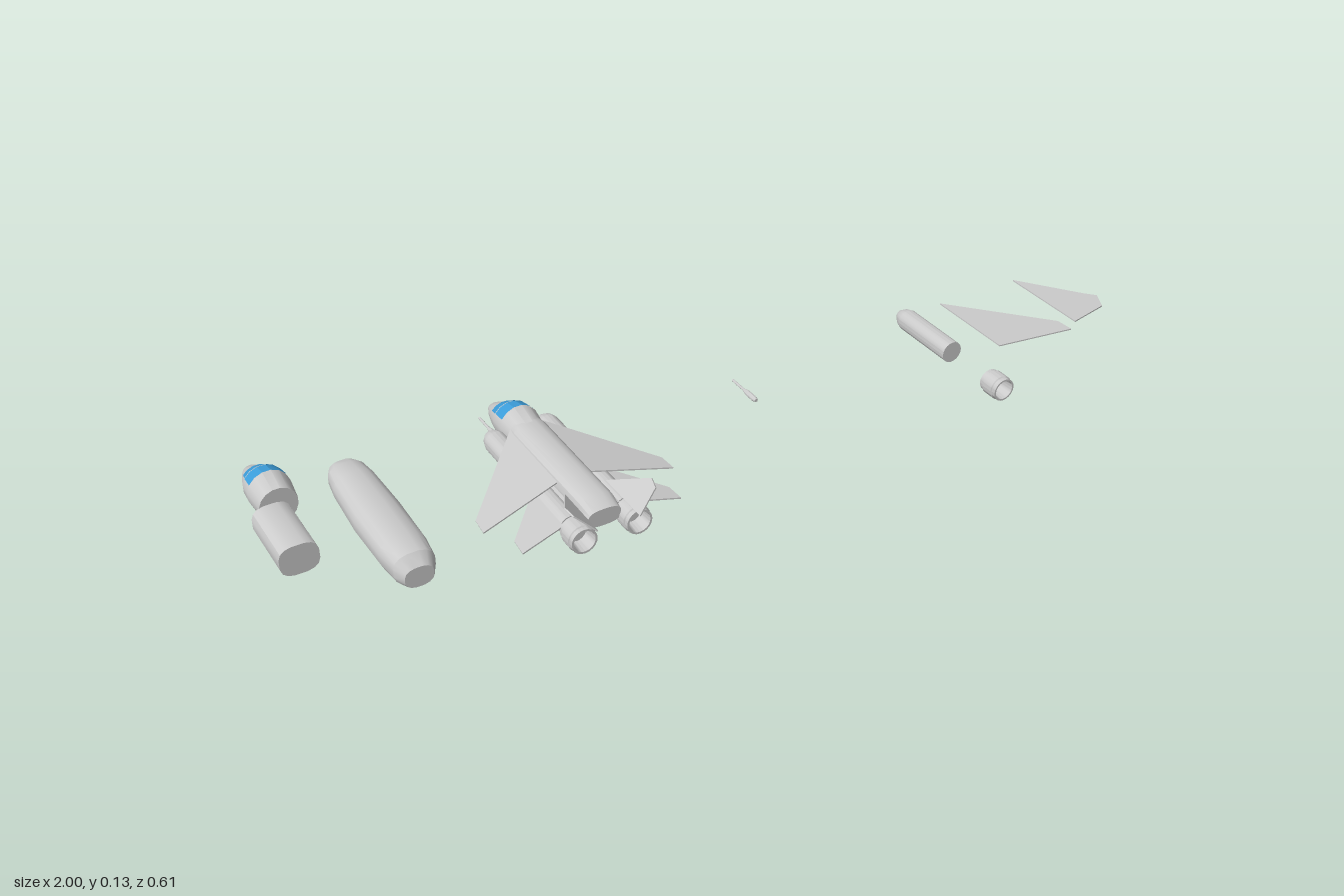
import * as THREE from 'three';
import { toCreasedNormals } from 'three/addons/utils/BufferGeometryUtils.js';

const grey = new THREE.MeshStandardMaterial({ color: 0xcccccc, side: THREE.DoubleSide });
const blue = new THREE.MeshStandardMaterial({ color: 0x3d9fdc, side: THREE.DoubleSide });

function add(parent, name, geometry, material = grey) {
  const mesh = new THREE.Mesh(geometry, material);
  mesh.name = name;
  parent.add(mesh);
  return mesh;
}

function group(parent, name, x = 0, y = 0, z = 0) {
  const g = new THREE.Group();
  g.name = name;
  g.position.set(x, y, z);
  parent.add(g);
  return g;
}

// Skin over sections [z, halfWidth, bottom, top], ordered from tail to nose.
// first..last picks a strip of the ring; a full ring gets end caps.
function loft(sections, { n = 16, power = 1, first = 0, last = n, grow = 0 } = {}) {
  const pos = [], index = [], w = last - first + 1;
  const bend = (v) => Math.sign(v) * Math.abs(v) ** power;
  for (const [z, half, bottom, top] of sections) {
    for (let j = first; j <= last; j++) {
      const a = ((j + 0.5) / n) * Math.PI * 2;
      pos.push(bend(Math.cos(a)) * (half + grow),
        (bottom + top) / 2 + bend(Math.sin(a)) * ((top - bottom) / 2 + grow), z);
    }
  }
  for (let i = 0; i < sections.length - 1; i++) {
    for (let j = 0; j < w - 1; j++) {
      const a = i * w + j, b = a + w;
      index.push(a, b, b + 1, a, b + 1, a + 1);
    }
  }
  if (w === n + 1) {
    const end = (sections.length - 1) * w;
    for (let j = 1; j < n - 1; j++) {
      index.push(0, j, j + 1, end, end + j + 1, end + j);
    }
  }
  const g = new THREE.BufferGeometry();
  g.setAttribute('position', new THREE.Float32BufferAttribute(pos, 3));
  g.setIndex(index);
  return toCreasedNormals(g, 0.5);
}

// Thin flat plate from [x, z] corners, mirrored by side
function plate(points, side = 1, t = 0.003) {
  const shape = new THREE.Shape(points.map(([x, z]) => new THREE.Vector2(x * side, z)));
  const g = new THREE.ExtrudeGeometry(shape, { depth: t, bevelEnabled: false });
  return g.translate(0, 0, -t / 2).rotateX(Math.PI / 2);
}

// Round body along z from [radius, z] points
function turned(points, sides = 20) {
  const g = new THREE.LatheGeometry(points.map(([r, z]) => new THREE.Vector2(r, z)), sides);
  return toCreasedNormals(g.rotateX(Math.PI / 2), 0.5);
}

const cockpitSections = [
  [-0.125, 0.04, 0.012, 0.093], [-0.175, 0.045, 0.01, 0.104], [-0.215, 0.042, 0.01, 0.094],
  [-0.25, 0.033, 0.013, 0.074], [-0.28, 0.024, 0.02, 0.056], [-0.298, 0.016, 0.026, 0.046],
  [-0.305, 0.008, 0.031, 0.04],
];

function cockpit(parent, x, z) {
  const g = group(parent, 'cockpit', x, 0, z);
  add(g, 'noseShell', loft(cockpitSections));
  // Canopy panes with narrow frames between them
  const mix = (a, b, t) => a.map((v, i) => v + (b[i] - v) * t);
  for (const i of [1, 2]) {
    const [a, b] = [cockpitSections[i], cockpitSections[i + 1]];
    const pane = [mix(a, b, 0.04), mix(a, b, 0.95)];
    for (const [first, last] of [[1, 3], [3, 4], [4, 6]]) {
      add(g, 'canopyPane', loft(pane, { first, last, grow: 0.0012 }), blue);
    }
  }
}

const wingShape = [[0, -0.105], [0.182, 0.1], [0.185, 0.142], [0, 0.115]];
const finShape = [[0, -0.105], [0.1, 0.03], [0.122, 0.055], [0.1, 0.098], [0, 0.12]];
const tailFin = [[0, 0.165], [0.068, 0.265], [0.06, 0.29], [0, 0.303]];
const pod = [[0, 0.08], [0.025, 0.08], [0.025, -0.085], [0.021, -0.1], [0.012, -0.114], [0, -0.12]];
const nozzle = [[0, 0.212], [0.025, 0.212], [0.025, 0.222], [0.028, 0.224], [0.028, 0.252],
  [0.026, 0.254], [0.026, 0.264], [0.022, 0.264], [0.019, 0.23], [0, 0.23]];
const gun = [[0, 0.02], [0.004, 0.02], [0.0065, 0.01], [0.0065, -0.015], [0.003, -0.03],
  [0.003, -0.075], [0, -0.075]];

export function createModel() {
  const model = new THREE.Group();
  model.name = 'aircraftKit';

  // Loose parts on the left end of the row
  cockpit(model, -0.933, 0);
  add(model, 'fuselageSection', loft([[0.065, 0.04, 0.025, 0.092], [-0.085, 0.04, 0.025, 0.092]],
    { power: 0.7 })).position.x = -0.96;
  add(model, 'longHull', loft([
    [0.198, 0.03, 0.01, 0.055], [0.175, 0.043, 0.006, 0.075], [0.12, 0.049, 0.004, 0.08],
    [0, 0.051, 0.001, 0.081], [-0.12, 0.046, 0.008, 0.08], [-0.165, 0.04, 0.014, 0.076],
    [-0.188, 0.03, 0.022, 0.068], [-0.197, 0.018, 0.032, 0.058],
  ], { power: 0.8 })).position.x = -0.778;

  // Assembled jet
  const jet = group(model, 'jet', -0.411, 0, 0);
  cockpit(jet, 0, 0.045);
  add(jet, 'fuselage', loft([
    [0.244, 0.036, 0.04, 0.078], [0.21, 0.04, 0.022, 0.092],
    [-0.08, 0.041, 0.012, 0.093], [-0.12, 0.036, 0.014, 0.09],
  ], { power: 0.7 }));
  for (const s of [-1, 1]) {
    const name = s > 0 ? 'left' : 'right';
    const wing = add(jet, name + 'Wing', plate(wingShape, s));
    wing.position.set(s * 0.03, 0.076, 0);
    wing.rotation.z = -s * 0.22;
    const tail = add(jet, name + 'Tailplane', plate(wingShape, s));
    tail.position.set(-s * 0.008, 0.07, 0.095);
    tail.rotation.z = -s * 0.2;
    const fin = add(jet, name + 'TailFin', plate(tailFin, s));
    fin.position.set(s * 0.046, 0.08, 0);
    fin.rotation.z = s * Math.PI / 4;

    // Engine: pod, rear casing and nozzle
    const engine = group(jet, name + 'Engine', s * 0.06, 0.042, 0);
    add(engine, 'pod', turned(pod)).position.z = -0.035;
    add(engine, 'casing', turned([[0, 0.215], [0.023, 0.215], [0.023, 0.04], [0, 0.04]]));
    const outlet = add(engine, 'nozzle', turned(nozzle));
    outlet.scale.set(1.07, 1.07, 1);
    outlet.position.z = 0.01;
    add(jet, name + 'Gun', turned(gun, 10)).position.set(s * 0.048, 0.037, -0.152);
  }

  // Loose parts on the right end of the row
  add(model, 'looseGun', turned(gun, 10)).position.set(0.075, 0.038, 0);
  add(model, 'loosePod', turned(pod)).position.set(0.553, 0.039, 0);
  add(model, 'looseNozzle', turned(nozzle)).position.set(0.553, 0.039, 0);
  add(model, 'looseWing', plate(wingShape)).position.set(0.66, 0.04, 0);
  add(model, 'looseFin', plate(finShape)).position.set(0.876, 0.04, 0);
  return model;
}
